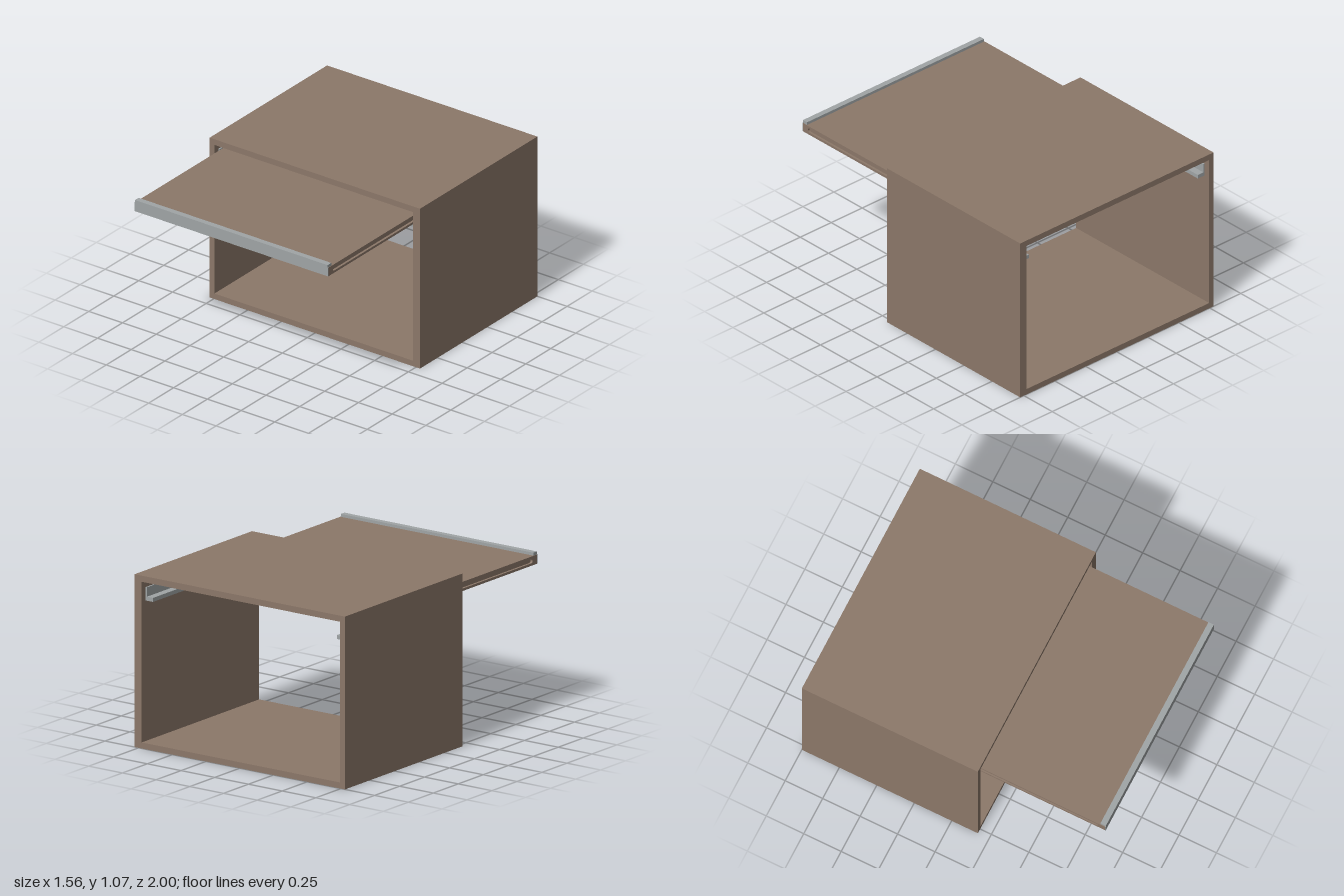
import * as THREE from 'three';

const wood = new THREE.MeshStandardMaterial({ color: 0x8c7869 });
wood.name = 'brown wood';
const metal = new THREE.MeshStandardMaterial({ color: 0xa0a5a6 });
metal.name = 'grey metal';

// Box given by its lower and upper limits on each axis
function box(name, material, [x0, x1], [y0, y1], [z0, z1]) {
  const mesh = new THREE.Mesh(new THREE.BoxGeometry(x1 - x0, y1 - y0, z1 - z0), material);
  mesh.position.set((x0 + x1) / 2, (y0 + y1) / 2, (z0 + z1) / 2);
  mesh.name = name;
  return mesh;
}

// Extrude a front-facing outline along z
function extrude(name, material, shape, depth, z) {
  const mesh = new THREE.Mesh(
    new THREE.ExtrudeGeometry(shape, { depth, bevelEnabled: false, curveSegments: 8 }), material);
  mesh.position.z = z;
  mesh.name = name;
  return mesh;
}

const polygon = (points) => new THREE.Shape(points.map(([x, y]) => new THREE.Vector2(x, y)));

// Open box shell, right through from front to back
function makeCabinet() {
  const outline = polygon([[-0.78, 0], [0.78, 0], [0.78, 1.07], [-0.78, 1.07]]);
  outline.holes.push(polygon([[-0.745, 0.037], [-0.745, 1.032], [0.728, 1.032], [0.728, 0.037]]));
  return extrude('cabinetShell', wood, outline, 1.175, -1);
}

// Tray side layer with a round-ended groove, open at the back
function makeGroovedSide(name, x, depth) {
  const shape = new THREE.Shape();
  shape.moveTo(0, 0.935);
  shape.lineTo(0.995, 0.935);
  shape.lineTo(0.995, 0.992);
  shape.lineTo(0, 0.992);
  shape.lineTo(0, 0.978);
  shape.lineTo(0.938, 0.978);
  shape.absarc(0.938, 0.964, 0.014, Math.PI / 2, -Math.PI / 2, true);
  shape.lineTo(0, 0.95);
  shape.closePath();
  const geometry = new THREE.ExtrudeGeometry(shape, { depth, bevelEnabled: false, curveSegments: 8 });
  geometry.rotateY(-Math.PI / 2);
  const mesh = new THREE.Mesh(geometry, wood);
  mesh.position.x = x;
  mesh.name = name;
  return mesh;
}

function makeTray() {
  const tray = new THREE.Group();
  tray.name = 'slidingTray';
  const x0 = -0.725, x1 = 0.71, groove = 0.015, frame = 0.055;
  const y = [0.935, 0.992], z = [0, 0.995];
  // top panel and the frame under it
  tray.add(
    box('trayPanel', wood, [x0 + frame, x1 - frame], [0.97, 0.992], [frame, 0.995 - frame]),
    box('trayRightRail', wood, [x0 + groove, x0 + frame], y, z),
    box('trayLeftRail', wood, [x1 - frame, x1 - groove], y, z),
    box('trayBackRail', wood, [x0 + frame, x1 - frame], y, [0, frame]),
    box('trayFrontRail', wood, [x0 + frame, x1 - frame], y, [0.995 - frame, 0.995]),
    makeGroovedSide('trayRightGroove', x0 + groove, groove),
    makeGroovedSide('trayLeftGroove', x1, groove));
  // metal edge: front plate with a lip over the top
  tray.add(
    box('frontPlate', metal, [x0, x1], [0.935, 0.995], [0.995, 1]),
    box('topLip', metal, [x0 + 0.003, x1 - 0.003], [0.992, 1.01], [0.964, 1]));
  return tray;
}

// L-shaped runner on a cabinet wall; inward is +1 or -1
function makeRunner(name, wall, inward) {
  const runner = new THREE.Group();
  runner.name = name;
  const span = (a, b) => [wall + inward * a, wall + inward * b].sort((p, q) => p - q);
  const z = [-0.96, 0.135];
  runner.add(
    box('runnerLedge', metal, span(0, 0.055), [0.907, 0.932], z),
    box('runnerWall', metal, span(0, 0.01), [0.932, 0.99], z));
  // guide peg running in the tray groove
  const peg = new THREE.Mesh(new THREE.CylinderGeometry(0.009, 0.009, 0.022, 16), metal);
  peg.rotation.z = Math.PI / 2;
  peg.position.set(wall + inward * 0.019, 0.962, 0.11);
  peg.name = 'guidePeg';
  runner.add(peg);
  return runner;
}

export function createModel() {
  const model = new THREE.Group();
  model.name = 'cabinetWithSlidingTray';
  model.add(
    makeCabinet(),
    makeTray(),
    makeRunner('rightRunner', -0.745, 1),
    makeRunner('leftRunner', 0.728, -1));
  return model;
}
